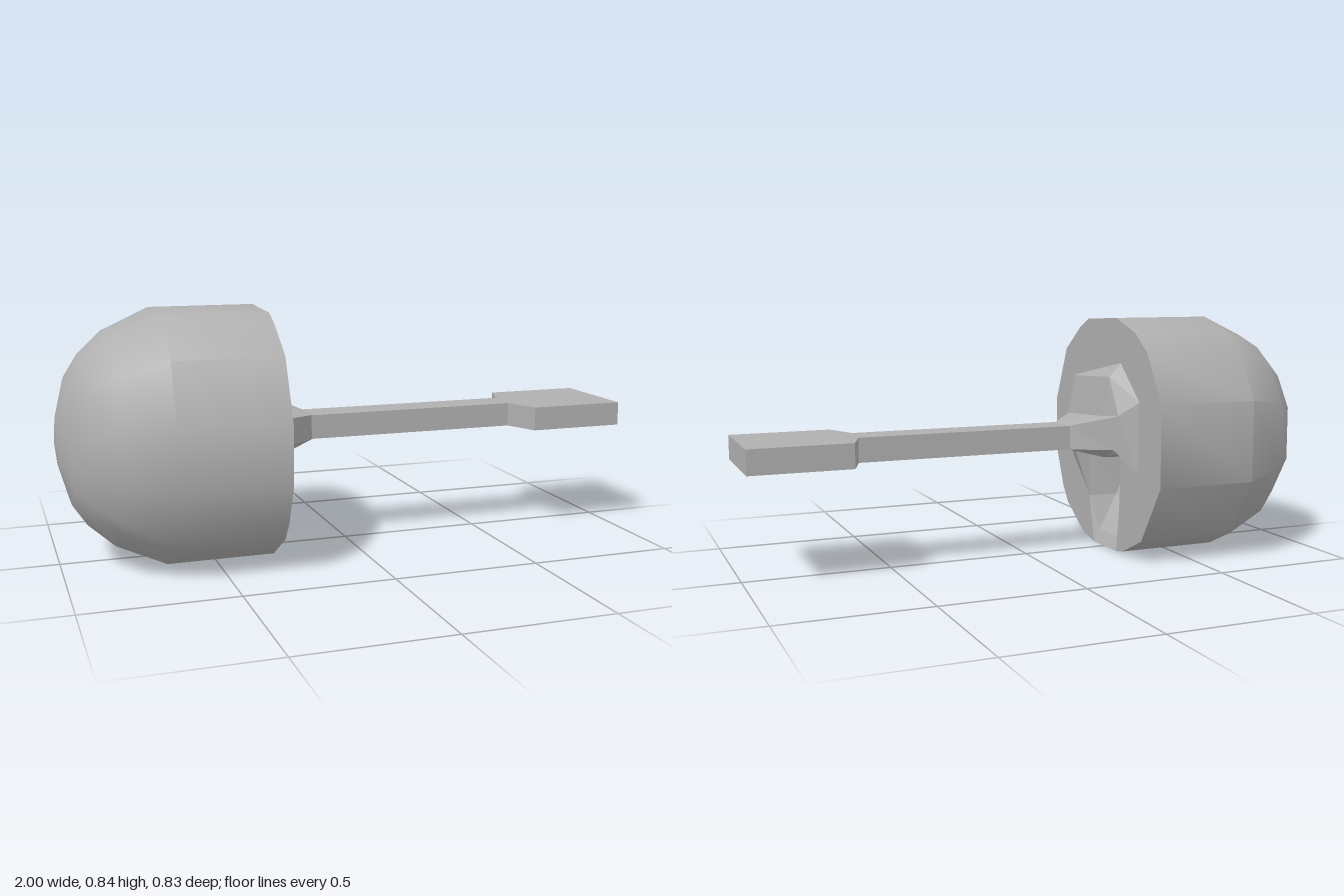
import * as THREE from 'three';
import { toCreasedNormals } from 'three/addons/utils/BufferGeometryUtils.js';

// Skin a list of rings (same point count, [x, y, z] points) ordered clockwise as seen from +x.
function loft(rings, crease) {
  const pos = [];
  for (let r = 0; r < rings.length - 1; r++) {
    const a = rings[r], b = rings[r + 1], n = a.length;
    for (let i = 0; i < n; i++) {
      const j = (i + 1) % n;
      pos.push(...a[i], ...b[i], ...a[j], ...a[j], ...b[i], ...b[j]);
    }
  }
  const geo = new THREE.BufferGeometry();
  geo.setAttribute('position', new THREE.Float32BufferAttribute(pos, 3));
  geo.computeVertexNormals();
  return crease ? toCreasedNormals(geo, crease) : geo;
}

// Ring from [z, y] pairs; a third value overrides the default x.
const ring = (x, pts) => pts.map(([z, y, px = x]) => [px, y, z]);

export function createModel() {
  const group = new THREE.Group();
  const grey = new THREE.MeshStandardMaterial({ color: 0xb0b0b0 });
  const add = (name, geo) => {
    const mesh = new THREE.Mesh(geo, grey);
    mesh.name = name;
    group.add(mesh);
  };
  const cy = 0.42;

  // Irregular rim outline, starting right of the bottom slot
  const rim = [
    [-0.1, 0.005], [0.08, 0.003], [0.165, 0.02], [0.31, 0.11], [0.355, 0.17],
    [0.415, 0.31], [0.418, 0.51], [0.33, 0.71], [0.205, 0.8], [0.14, 0.83],
    [-0.08, 0.84], [-0.22, 0.795], [-0.31, 0.73], [-0.41, 0.565], [-0.412, 0.285],
    [-0.285, 0.08], [-0.15, 0.015],
  ];

  // Rounded dome: rim outline shrunk along a profile of [x, scale]
  const profile = [[-1, 0], [-0.99, 0.2], [-0.955, 0.5], [-0.91, 0.66], [-0.83, 0.83], [-0.67, 1], [-0.31, 1]];
  add('dome', loft(profile.map(([x, s]) =>
    ring(x, rim.map(([z, y]) => [z * s, cy + (y - cy) * s]))), 0.65));

  // Flat face with a slot cut in from the bottom
  const slot = [[0.08, 0.003], [0.12, 0.17], [0.135, 0.36], [-0.13, 0.355], [-0.12, 0.17], [-0.1, 0.005]];
  const outline = [...rim.slice(1), ...slot.slice().reverse().slice(0, 5)];
  const face = new THREE.ShapeGeometry(new THREE.Shape(outline.map(([z, y]) => new THREE.Vector2(-z, y))));
  face.rotateY(Math.PI / 2).translate(-0.31, 0, 0);
  add('face', face);

  // Pocket behind the slot, sloping deeper towards the top
  add('pocket', loft([
    ring(-0.31, slot),
    ring(-0.33, [[0.07, 0.05], [0.115, 0.17, -0.42], [0.1, 0.36, -0.5],
      [-0.1, 0.36, -0.5], [-0.115, 0.17, -0.42], [-0.08, 0.05]]),
    ring(-0.43, slot.map(() => [0, 0.17])),
  ]));

  // Faceted hub tapering into the neck
  add('hub', loft([
    ring(-0.312, [[0.135, 0.36], [0.12, 0.17], [0.26, 0.3], [0.23, 0.62],
      [-0.12, 0.685], [-0.26, 0.56], [-0.255, 0.3], [-0.13, 0.355]]),
    ring(-0.255, [[0.13, 0.36], [0.135, 0.35], [0.18, 0.38], [0.17, 0.62, -0.27],
      [-0.12, 0.637, -0.265], [-0.21, 0.51], [-0.2, 0.38], [-0.13, 0.355]]),
    ring(-0.245, [[0.12, 0.36], [0.13, 0.36], [0.165, 0.39], [0.17, 0.48],
      [-0.12, 0.5], [-0.2, 0.505], [-0.19, 0.39], [-0.12, 0.355]]),
    ring(-0.14, [[0.055, 0.38], [0.055, 0.38], [0.055, 0.38], [0.055, 0.465],
      [-0.065, 0.465], [-0.065, 0.465], [-0.065, 0.38], [-0.065, 0.38]]),
  ]));

  // Flat arm widening into a square paddle
  const arm = new THREE.Shape([
    [-0.15, -0.055], [0.61, -0.055], [0.66, -0.17], [1, -0.17],
    [1, 0.178], [0.66, 0.178], [0.62, 0.065], [-0.15, 0.065],
  ].map(([x, y]) => new THREE.Vector2(x, y)));
  const armGeo = new THREE.ExtrudeGeometry(arm, { depth: 0.083, bevelEnabled: false });
  armGeo.rotateX(-Math.PI / 2).translate(0, 0.381, 0);
  add('armAndPaddle', armGeo);

  return group;
}
